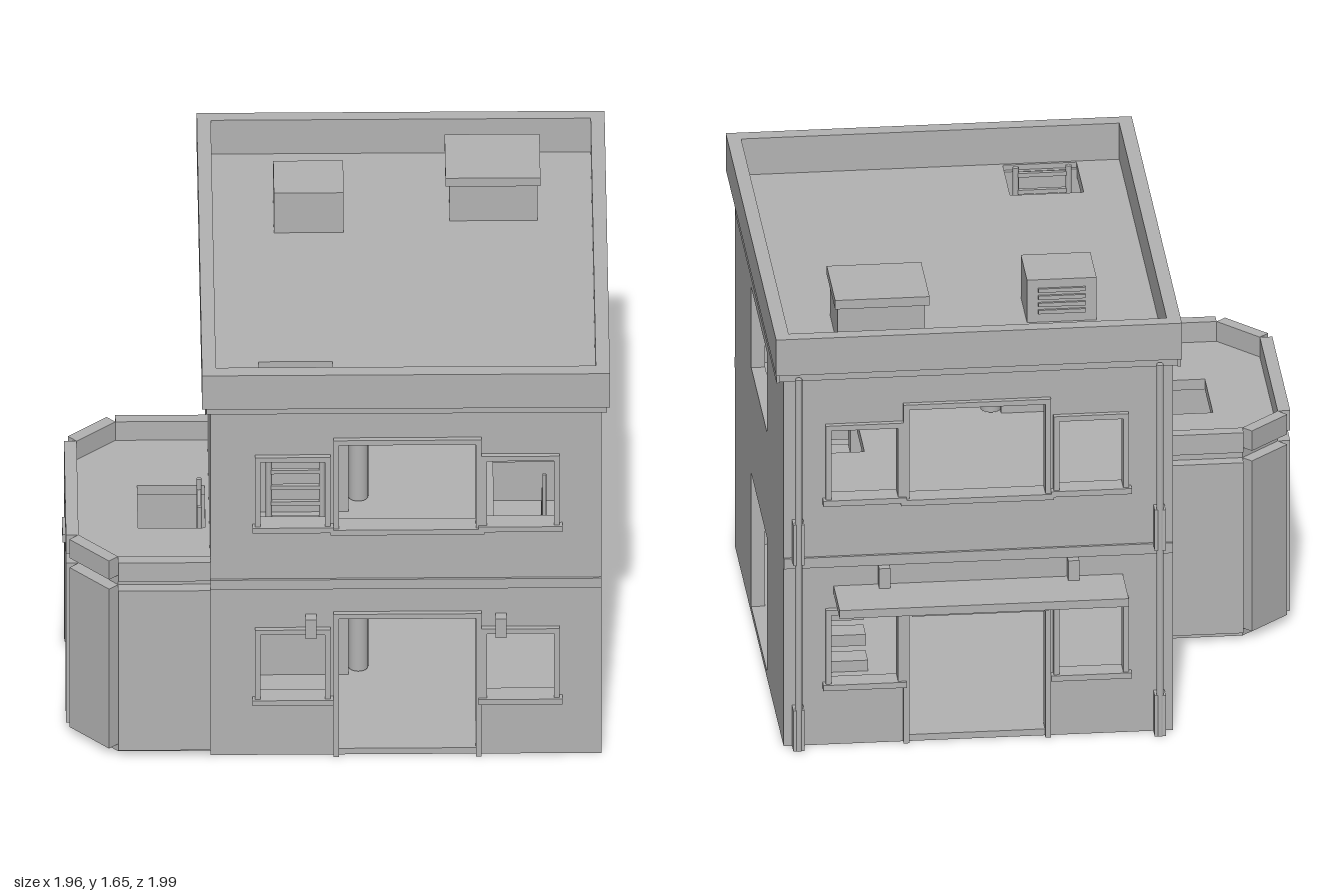
import * as THREE from 'three';

export function createModel() {
  const model = new THREE.Group();
  const plaster = new THREE.MeshStandardMaterial({ color: 0xb3b3b3 });
  plaster.name = 'grey plaster';

  const add = (name, geo) => {
    const mesh = new THREE.Mesh(geo, plaster);
    mesh.name = name;
    model.add(mesh);
    return mesh;
  };
  // Box given by its limits on each axis
  const box = (name, x0, x1, y0, y1, z0, z1) => {
    const m = add(name, new THREE.BoxGeometry(x1 - x0, y1 - y0, z1 - z0));
    m.position.set((x0 + x1) / 2, (y0 + y1) / 2, (z0 + z1) / 2);
    return m;
  };
  const rod = (name, r, x, y0, y1, z, sides = 16) => {
    const m = add(name, new THREE.CylinderGeometry(r, r, y1 - y0, sides));
    m.position.set(x, (y0 + y1) / 2, z);
    return m;
  };
  const rect = (a, b, c, d) => [[a, c], [b, c], [b, d], [a, d]];
  const path = (pts, Type) => new Type(pts.map(([u, v]) => new THREE.Vector2(u, v)));
  const plate = (outline, holes, depth) => {
    const shape = path(outline, THREE.Shape);
    shape.holes = holes.map((h) => path(h, THREE.Path));
    return new THREE.ExtrudeGeometry(shape, { depth, bevelEnabled: false });
  };
  // Horizontal plate drawn in x and z, hanging down from its top
  const slab = (name, outline, holes, y0, y1) =>
    add(name, plate(outline, holes, y1 - y0).rotateX(Math.PI / 2).translate(0, y1, 0));

  const X0 = -0.46, X1 = 0.94, ZB = -0.785, ZF = 0.95, T = 0.05;

  // Openings as [left, right, bottom, top]
  const openings = [
    [-0.28, -0.05, 0.245, 0.515], [0, 0.49, 0.025, 0.58], [0.53, 0.77, 0.245, 0.515],
    [-0.28, -0.05, 0.97, 1.24], [0, 0.49, 0.96, 1.31], [0.53, 0.77, 0.97, 1.24],
  ];

  // Front and back walls with matching frames and sills
  for (const s of [1, -1]) {
    const face = s > 0 ? ZF : ZB;
    const side = s > 0 ? 'front' : 'back';
    const out = (name, x0, x1, y0, y1, d) =>
      box(name, x0, x1, y0, y1, Math.min(face, face + s * d), Math.max(face, face + s * d));
    add(side + 'Wall', plate(rect(X0, X1, 0, 1.45), openings.map((o) => rect(...o)), T)
      .translate(0, 0, s > 0 ? ZF - T : ZB));
    for (const [a, b, c, d] of openings) {
      const door = c < 0.1;
      const bottom = door ? 0 : c;
      out('frameSide', a - 0.02, a, bottom, d + 0.02, 0.02);
      out('frameSide', b, b + 0.02, bottom, d + 0.02, 0.02);
      out('frameTop', a, b, d, d + 0.02, 0.02);
      if (!door) out('windowSill', a - 0.03, b + 0.03, c - 0.022, c, 0.03);
    }
    out('floorBand', X0, X1, 0.70, 0.74, 0.01);
    for (const x of [-0.10, 0.58]) {
      const y = s > 0 ? 0.51 : 0.62;
      out('wallLamp', x - 0.02, x + 0.02, y, y + 0.08, 0.04);
    }
  }

  // Side walls
  const sideHoles = [rect(-0.37, 0.20, 0.025, 0.55), rect(-0.37, 0.20, 0.965, 1.28)];
  add('leftWall', plate(rect(-ZF + T, -ZB - T, 0, 1.45), sideHoles, T)
    .rotateY(Math.PI / 2).translate(X1 - T, 0, 0));
  box('rightWall', X0, X0 + T, 0, 1.45, ZB + T, ZF - T);

  // Floors and roof
  box('groundFloor', X0, X1, 0, 0.025, ZB, ZF);
  slab('upperFloor', rect(X0 + T, X1 - T, ZB + T, ZF - T),
    [rect(0.56, 0.80, 0.10, 0.68)], 0.70, 0.74);
  slab('roof', rect(X0, X1, ZB, ZF), [rect(-0.285, -0.02, 0.655, 0.915)], 1.42, 1.47);
  slab('parapet', rect(-0.49, 0.97, -0.815, 0.98),
    [rect(-0.44, 0.92, -0.765, 0.925)], 1.47, 1.612);
  slab('cornice', rect(-0.475, 0.96, -0.80, 0.965),
    [rect(X0, X1, ZB, ZF)], 1.44, 1.47);
  for (const x of [-0.488, 0.955]) box('corniceSide', x, x + 0.013, 1.44, 1.47, -0.81, 0.66);

  // Roof boxes
  box('roofBox', 0.41, 0.725, 1.47, 1.62, -0.58, -0.30);
  box('roofBoxLid', 0.395, 0.735, 1.62, 1.655, -0.59, -0.29);
  box('ventBox', -0.22, 0.03, 1.47, 1.637, -0.445, -0.225);
  for (let i = 0; i < 4; i++) {
    const y = 1.505 + i * 0.028;
    box('ventSlat', -0.18, -0.01, y, y + 0.015, -0.454, -0.445);
  }

  // Stairs between the floors
  for (let i = 0; i < 11; i++) {
    const y = 0.045 + i * 0.0665, z = -0.18 + i * 0.077;
    box('stairStep', 0.58, 0.77, y - 0.022, y + 0.022, z - 0.043, z + 0.043);
    if (i % 3 === 0) rod('stairPost', 0.007, 0.74, y, y + 0.26, z, 8);
  }

  // Partitions and upright tanks on both floors
  for (const y of [0.025, 0.74]) {
    const z = y > 0.5 ? 0.38 : 0.33;
    box('partition', -0.28, 0.04, y, y + 0.385, z, z + 0.115);
    rod('tank', 0.036, 0.075, y + 0.01, y + 0.265, 0.405, 24);
    rod('tankCap', 0.016, 0.075, y + 0.265, y + 0.295, 0.405, 16);
  }

  // Roof ladder under the main hatch
  for (const x of [-0.25, -0.06]) rod('ladderRail', 0.011, x, 0.74, 1.49, 0.85, 8);
  for (let i = 0; i < 11; i++) {
    const y = 0.80 + i * 0.066;
    box('ladderRung', -0.25, -0.06, y - 0.008, y + 0.008, 0.842, 0.858);
  }

  // Annex with bevelled corners
  const ring = [[-0.46, 0.92], [-0.79, 0.92], [-0.93, 0.77], [-0.93, 0.13], [-0.79, 0], [-0.46, 0]];
  slab('annexFloor', ring, [], 0, 0.03);
  slab('annexRoof', ring, [rect(-0.715, -0.475, 0.31, 0.60)], 0.70, 0.74);
  // Panel along part of one annex edge, standing just outside it
  const panel = (name, i, from, to, y0, y1) => {
    const [ax, az] = ring[i], [bx, bz] = ring[i + 1];
    const dx = bx - ax, dz = bz - az, len = Math.hypot(dx, dz), t = 0.045, k = (from + to) / 2;
    const m = add(name, new THREE.BoxGeometry(len * (to - from), y1 - y0, t));
    m.position.set(ax + dx * k + dz / len * t / 2, (y0 + y1) / 2, az + dz * k - dx / len * t / 2);
    m.rotation.y = Math.atan2(-dz, dx);
  };
  for (let i = 0; i < 5; i++) {
    panel('annexParapet', i, 0, 1, 0.74, 0.818);
    if (i === 2) {
      panel('annexDoorJamb', i, 0, 0.15, 0.03, 0.70);
      panel('annexDoorJamb', i, 0.86, 1, 0.03, 0.70);
      panel('annexDoorHeader', i, 0.15, 0.86, 0.60, 0.70);
    } else panel('annexWall', i, 0, 1, 0.03, 0.70);
  }
  box('annexLamp', -0.985, -0.975, 0.625, 0.66, 0.39, 0.51);
  for (const z of [0.36, 0.55]) rod('annexLadderRail', 0.009, -0.495, 0.03, 0.80, z, 8);
  for (let i = 0; i < 11; i++) {
    const y = 0.09 + i * 0.066;
    box('annexLadderRung', -0.502, -0.488, y - 0.007, y + 0.007, 0.36, 0.55);
  }

  // Back canopy with its beam
  box('canopy', -0.28, 0.76, 0.59, 0.622, -1.0, ZB);
  box('canopyBeam', 0, 0.49, 0.545, 0.59, -0.91, -0.84);

  // Drainpipes with wall brackets
  for (const x of [-0.41, 0.89]) {
    rod('drainpipe', 0.013, x, 0, 1.46, -0.826, 12);
    for (const [y0, y1] of [[0, 0.16], [0.73, 0.89]])
      box('pipeSleeve', x - 0.02, x + 0.02, y0, y1, -0.835, ZB);
  }
  return model;
}
